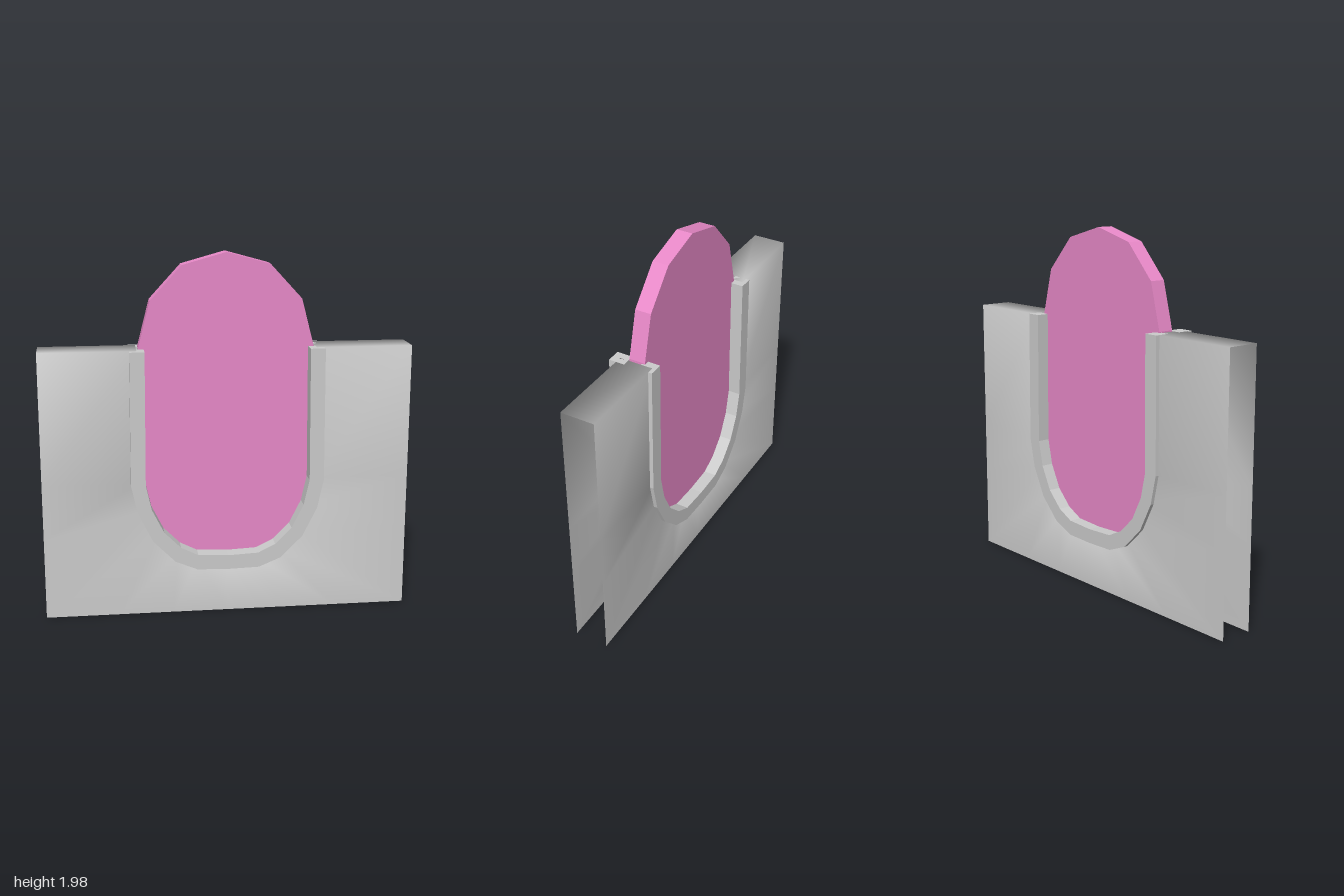
import * as THREE from 'three';

const TOP = 1.475;

// Right half of each U-shaped edge, from the top end down to the middle
const frameOuter = [[0.52, TOP], [0.525, 0.75], [0.49, 0.59], [0.41, 0.43], [0.29, 0.31], [0.17, 0.26], [0, 0.255]];
const frameInner = [[0.44, TOP], [0.446, 0.75], [0.415, 0.61], [0.35, 0.48], [0.26, 0.39], [0.165, 0.343], [0, 0.335]];
const wallOuter = [[1, TOP], [1, 0.75], [1, 0.45], [1, 0], [0.6, 0], [0.3, 0], [0, 0]];
const slotEdge = frameOuter.map(([x, y], i) => [(x + frameInner[i][0]) / 2, (y + frameInner[i][1]) / 2]);

// Completes a half profile with its mirror image
function mirrored(half) {
  const other = half.filter(([x]) => x > 0).map(([x, y]) => [-x, y]).reverse();
  return [...half, ...other];
}

// Flat plate between two depths
function plate(points, zBack, zFront) {
  const shape = new THREE.Shape(points.map(([x, y]) => new THREE.Vector2(x, y)));
  const geometry = new THREE.ExtrudeGeometry(shape, { depth: zFront - zBack, bevelEnabled: false });
  geometry.translate(0, 0, zBack);
  return geometry;
}

// Hollow wall: two sheets joined along the slot and the top, open at the ends and below
function wallGeometry(zBack, zFront) {
  const outer = mirrored(wallOuter);
  const inner = mirrored(slotEdge);
  const positions = [];
  const index = [];
  outer.forEach((o, i) => {
    positions.push(...o, zFront, ...inner[i], zFront, ...inner[i], zBack, ...o, zBack);
  });
  const last = outer.length - 1;
  for (let i = 0; i < last; i++) {
    for (let k = 0; k < 3; k++) {
      const a = i * 4 + k;
      index.push(a, a + 1, a + 5, a, a + 5, a + 4);
    }
  }
  const e = last * 4;
  index.push(0, 2, 1, 0, 3, 2, e, e + 1, e + 2, e, e + 2, e + 3);
  const geometry = new THREE.BufferGeometry();
  geometry.setAttribute('position', new THREE.Float32BufferAttribute(positions, 3));
  geometry.setIndex(index);
  geometry.computeVertexNormals();
  return geometry;
}

export function createModel() {
  const group = new THREE.Group();
  const grey = new THREE.MeshStandardMaterial({ color: 0xcccccc });
  const wallMaterial = new THREE.MeshStandardMaterial({ color: 0xcccccc, side: THREE.DoubleSide });
  const pink = new THREE.MeshStandardMaterial({ color: 0xe889c8 });

  function add(name, geometry, material) {
    const mesh = new THREE.Mesh(geometry, material);
    mesh.name = name;
    group.add(mesh);
  }

  add('wall', wallGeometry(-0.102, 0.083), wallMaterial);

  // U-shaped trims on both faces of the wall
  const trim = [...mirrored(frameOuter), ...mirrored(frameInner).reverse()];
  add('frontFrame', plate(trim, 0.036, 0.123), grey);
  add('backFrame', plate(trim, -0.123, -0.038), grey);

  // Sliding panel, the same rounded end above and below
  const upper = [[0, 1.98], [0.235, 1.915], [0.405, 1.73], [0.47, 1.48]];
  const lower = upper.map(([x, y]) => [x, 2.195 - y]).reverse();
  const panel = mirrored([...upper, ...lower]);
  add('slidingPanel', plate(panel, -0.054, 0.035), pink);

  return group;
}
